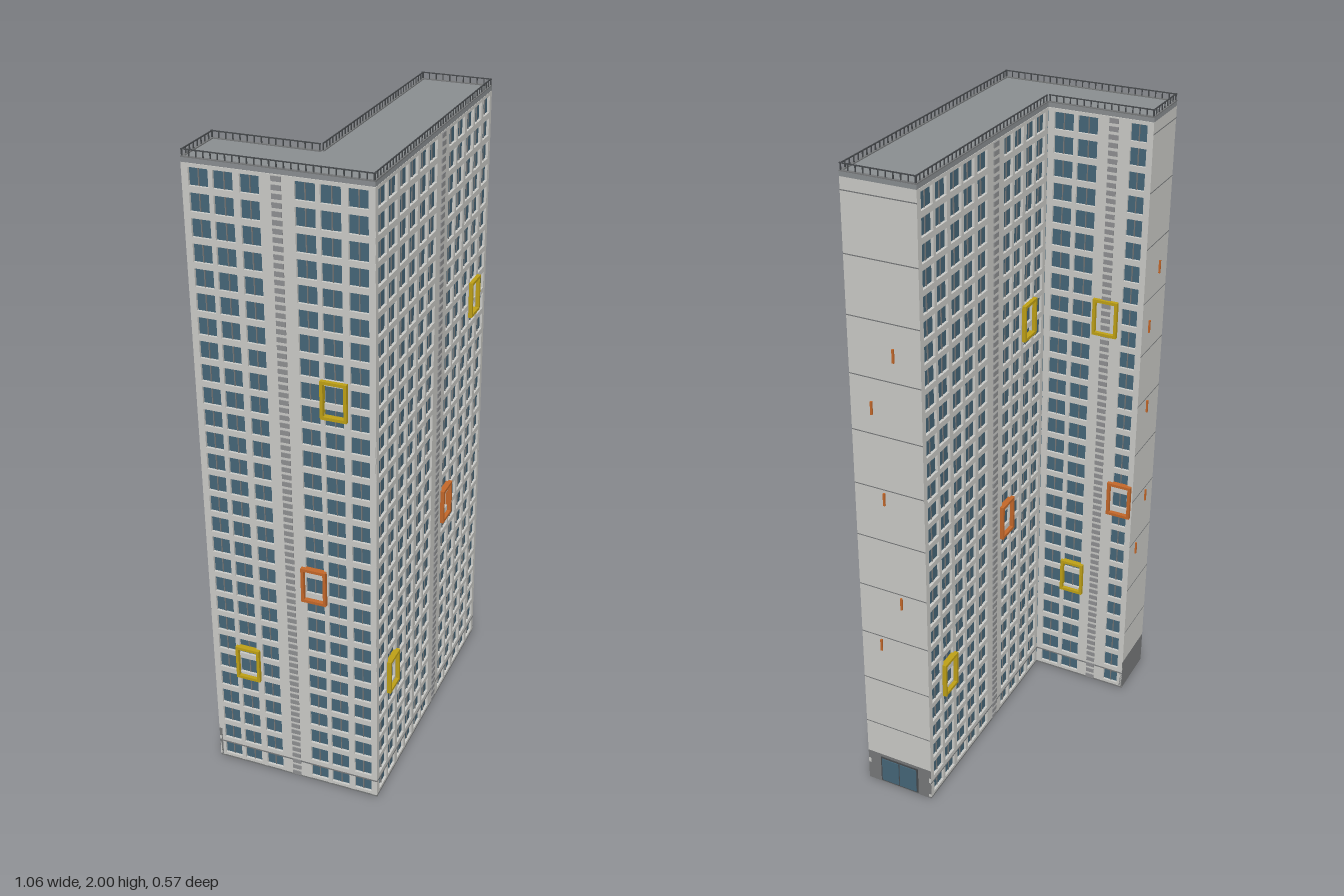
import * as THREE from 'three';
import { mergeGeometries } from 'three/addons/utils/BufferGeometryUtils.js';

const L = 0.932, D = 0.22, W = 0.1756, V = 0.538; // long wing, its depth, short wing, its length
const TOP = 1.965, FLOORS = 28, FLOOR_H = TOP / FLOORS;
const DEPTH = 0.008, MARGIN = 0.01, CORE = 0.08;

const mat = (name, color) => Object.assign(new THREE.MeshStandardMaterial({ color }), { name });

// box given by its centre and size
function box(x, y, z, w, h, d) {
  return new THREE.BoxGeometry(w, h, d).translate(x, y, z);
}

// L-shaped slab, inset from the outline
function slab(inset, y0, y1) {
  const i = inset;
  const pts = [[i, i], [L - i, i], [L - i, D - i], [W - i, D - i], [W - i, V - i], [i, V - i]];
  const shape = new THREE.Shape(pts.map(p => new THREE.Vector2(...p)));
  return new THREE.ExtrudeGeometry(shape, { depth: y1 - y0, bevelEnabled: false })
    .rotateX(-Math.PI / 2).translate(0, y0, 0);
}

export function createModel() {
  const m = {
    wall: mat('pale concrete', 0xcbcbc7),
    glass: mat('blue glass', 0x466678),
    roof: mat('roof grey', 0x8a8e91),
    base: mat('base grey', 0x77797a),
    vent: mat('vent grey', 0x8f9092),
    dark: mat('dark metal', 0x474a4d),
    yellow: mat('yellow frame', 0xbfa116),
    orange: mat('orange frame', 0xc4682a),
  };
  const add = (parent, name, geos, material) => {
    const mesh = new THREE.Mesh(Array.isArray(geos) ? mergeGeometries(geos) : geos, material);
    mesh.name = name;
    parent.add(mesh);
    return mesh;
  };

  const building = new THREE.Group();
  building.name = 'building';
  building.rotation.y = THREE.MathUtils.degToRad(20);
  building.position.set(-0.345, 0, 0.28);

  add(building, 'glassBody', slab(DEPTH, 0.004, TOP), m.glass);
  add(building, 'foundation', slab(0, 0, 0.006), m.base);
  add(building, 'roofSlab', slab(0, TOP, 1.978), m.roof);

  // each side is built with x to the viewer's right and z outward
  const side = (name, x, z, turn) => {
    const g = new THREE.Group();
    g.name = name;
    g.position.set(x, 0, z);
    g.rotation.y = turn * Math.PI / 2;
    building.add(g);
    return g;
  };

  // parapet railing along one side
  function railing(g, len) {
    const n = Math.round(len / 0.021), parts = [];
    for (let i = 0; i <= n; i++)
      parts.push(box(0.003 + (len - 0.006) * i / n, 1.988, -0.004, 0.003, 0.022, 0.003));
    parts.push(box(len / 2, 1.9985, -0.004, len, 0.003, 0.003));
    add(g, 'railing', parts, m.dark);
    add(g, 'parapetEdge', box(len / 2, 1.979, -0.004, len, 0.004, 0.008), m.base);
  }

  // projecting frame around a bay
  function bayFrame(g, x, y, material) {
    const w = 0.078, h = 0.115, t = 0.009, z = 0.003, d = 0.018;
    add(g, 'bayFrame', [
      box(x - w / 2 + t / 2, y, z, t, h, d), box(x + w / 2 - t / 2, y, z, t, h, d),
      box(x, y - h / 2 + t / 2, z, w, t, d), box(x, y + h / 2 - t / 2, z, w, t, d),
    ], material);
  }

  // window side: bays left of the stair core, the core, bays right of it
  function facade(name, x, z, turn, len, nLeft, nRight, coreStart, frames) {
    const g = side(name, x, z, turn);
    const concrete = [], mullions = [], vents = [], centres = [];
    const pier = (px, w) => concrete.push(box(px, TOP / 2, -DEPTH / 2, w, TOP - 0.01, DEPTH));

    const run = (from, to, n) => {
      const pitch = (to - from) / n;
      for (let i = 0; i < n; i++) {
        const c = from + (i + 0.5) * pitch;
        centres.push(c);
        pier(from + i * pitch, i % 2 ? 0.013 : 0.019);
        mullions.push(box(c, TOP / 2, -DEPTH + 0.001, 0.003, TOP - 0.01, 0.004));
      }
      pier(to, 0.017);
    };
    run(MARGIN, coreStart, nLeft);
    centres.push(coreStart + CORE / 2);
    run(coreStart + CORE, len - MARGIN, nRight);

    // stair core with a column of vents
    pier(coreStart + CORE / 2, CORE);
    for (let i = 0; i < FLOORS * 3; i++)
      vents.push(box(coreStart + CORE / 2, (i + 0.5) * FLOOR_H / 3, 0.001, 0.028, FLOOR_H / 5, 0.004));

    // floor bands
    for (let i = 0; i <= FLOORS; i++) {
      const y = THREE.MathUtils.clamp(i * FLOOR_H, 0.011, TOP - 0.006);
      const h = i === 0 || i === FLOORS ? 0.01 : 0.018;
      concrete.push(box(len / 2, y, -DEPTH / 2, len, h, DEPTH));
    }
    add(g, 'piersAndBands', concrete, m.wall);
    add(g, 'mullions', mullions, m.base);
    add(g, 'coreVents', vents, m.vent);
    add(g, 'plinthLine', box(len / 2, 0.062, 0, len, 0.004, 0.003), m.base);
    for (const [bay, y, colour] of frames) bayFrame(g, centres[bay], y, m[colour]);
    railing(g, len);
  }

  // blank gable wall with panel seams and small markers
  function gable(name, x, z, turn, len, hasDoor) {
    const g = side(name, x, z, turn);
    add(g, 'gableWall', box(len / 2, (0.11 + TOP) / 2, -0.005, len, TOP - 0.11, 0.01), m.wall);
    add(g, 'gableBase', box(len / 2, 0.058, -0.005, len, 0.104, 0.01), m.base);
    const seams = [];
    for (let y = 0.23; y < 1.95; y += 0.17)
      seams.push(box(len / 2, y, 0, len, 0.003, 0.001));
    add(g, 'panelSeams', seams, m.base);
    const spots = [[0.63, 1.5], [0.3, 1.33], [0.43, 1.05], [0.63, 0.71], [0.3, 0.54]];
    add(g, 'markers', spots.map(([f, y]) => box(f * len, y, 0.002, 0.006, 0.04, 0.006)), m.orange);
    if (hasDoor) {
      add(g, 'entranceFrame', box(len / 2, 0.053, 0.001, 0.13, 0.094, 0.003), m.dark);
      for (const s of [-1, 1])
        add(g, 'entranceGlass', box(len / 2 + s * 0.031, 0.053, 0.003, 0.058, 0.084, 0.004), m.glass);
    }
    railing(g, len);
  }

  const pitch = 0.0756;
  facade('frontSide', 0, 0, 0, L, 6, 5, MARGIN + 6 * pitch,
    [[1, 0.4, 'yellow'], [7, 0.74, 'orange'], [10, 1.355, 'yellow']]);
  facade('backSide', L, -D, 2, L - W, 5, 4, MARGIN + 5 * pitch,
    [[1, 0.4, 'yellow'], [6, 0.74, 'orange'], [8, 1.355, 'yellow']]);
  facade('innerSide', W, -D, 1, V - D, 2, 1, MARGIN + 2 * pitch,
    [[1, 0.4, 'yellow'], [3, 0.74, 'orange'], [2, 1.355, 'yellow']]);
  facade('outerSide', 0, -V, -1, V, 3, 3, (V - CORE) / 2,
    [[1, 0.4, 'yellow'], [4, 0.74, 'orange'], [5, 1.355, 'yellow']]);
  gable('longWingGable', L, 0, 1, D, true);
  gable('shortWingGable', W, -V, 2, W, false);

  const model = new THREE.Group();
  model.name = 'towerBlock';
  model.add(building);
  return model;
}
